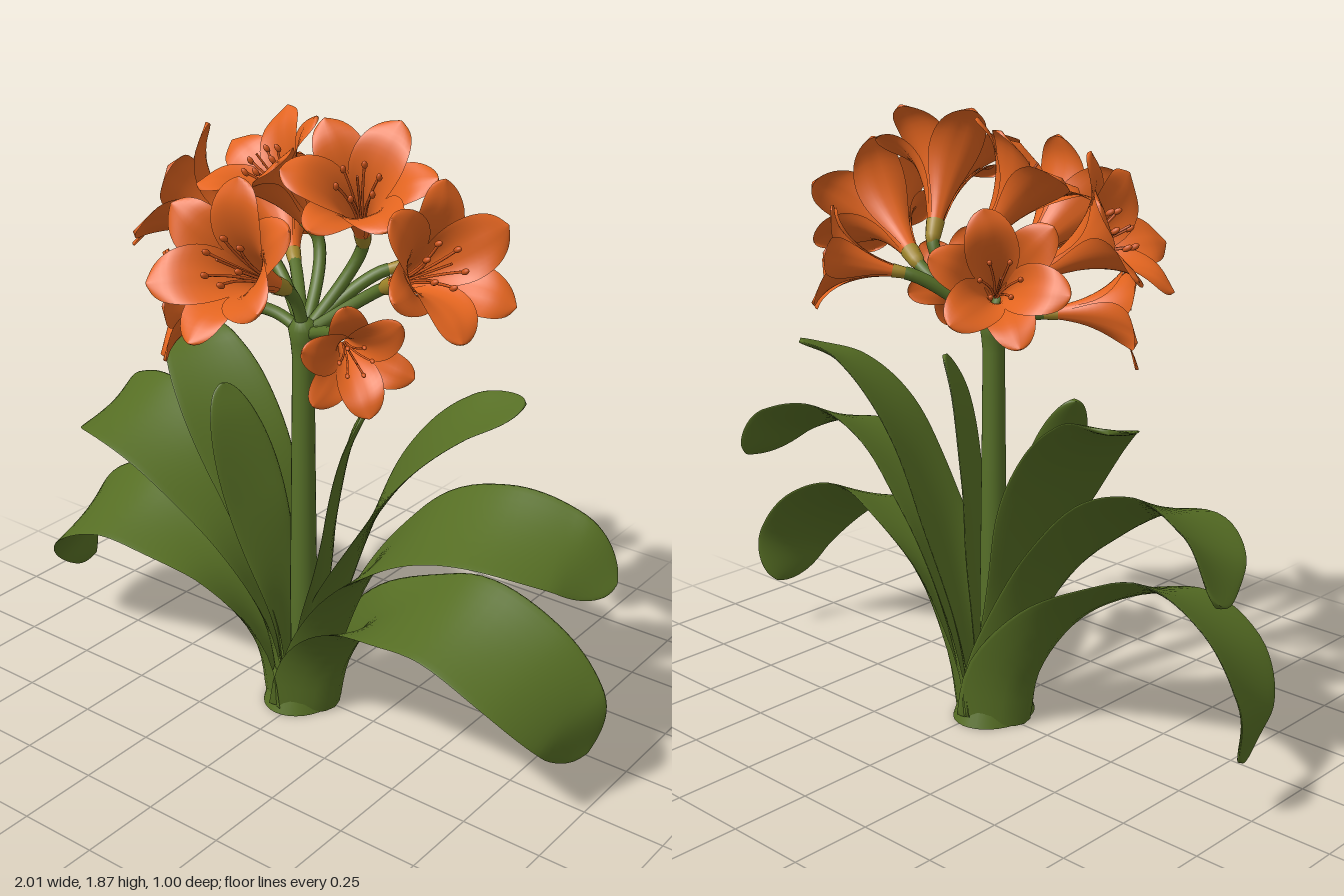
import * as THREE from 'three';

const V = (x, y, z) => new THREE.Vector3(x, y, z);
const smooth = THREE.MathUtils.smoothstep;
const mat = (name, color, side = THREE.DoubleSide) =>
  Object.assign(new THREE.MeshStandardMaterial({ color, side }), { name });

// Grid of points fn(u, v) turned into a smooth surface, rows closer towards the tip
function sheet(rows, cols, fn) {
  const pos = [], idx = [];
  for (let i = 0; i <= rows; i++)
    for (let j = 0; j <= cols; j++)
      pos.push(...fn(Math.sin((i / rows) * Math.PI / 2), j / cols).toArray());
  for (let i = 0; i < rows; i++)
    for (let j = 0; j < cols; j++) {
      const a = i * (cols + 1) + j, b = a + cols + 1;
      idx.push(a, a + 1, b, b, a + 1, b + 1);
    }
  const g = new THREE.BufferGeometry();
  g.setAttribute('position', new THREE.Float32BufferAttribute(pos, 3));
  g.setIndex(idx);
  g.computeVertexNormals();
  return g;
}

// Rounded end: 1 until u0, then an elliptical fall to 0
const roundTip = (u, u0) => (u < u0 ? 1 : Math.sqrt(Math.max(0, 1 - ((u - u0) / (1 - u0)) ** 2)));

// Strap leaf: lens-shaped section swept along an arching path, cupped at the base
function leafGeometry(side, { path, base, wide, tilt, cup }, lift) {
  const curve = new THREE.CatmullRomCurve3(path.map(([x, y, z], i) => {
    const u = i / (path.length - 1);
    return V(side * x - 0.02 * (1 - u), y * (1 + lift * u), z);
  }));
  return sheet(50, 24, (u, v) => {
    const c = curve.getPointAt(u), t = curve.getTangentAt(u);
    const n0 = V(-side * t.y, side * t.x, 0).normalize();
    const w0 = t.clone().cross(n0).multiplyScalar(side);
    const k = tilt * smooth(u, 0.15, 0.65);
    const w = w0.clone().multiplyScalar(Math.cos(k)).addScaledVector(n0, -Math.sin(k));
    const n = n0.clone().multiplyScalar(Math.cos(k)).addScaledVector(w0, Math.sin(k));
    const half = THREE.MathUtils.lerp(base, wide, smooth(u, 0.15, 0.68)) * roundTip(u, 0.69);
    const s = Math.cos(v * Math.PI * 2);
    const bend = THREE.MathUtils.lerp(cup, 0.1, smooth(u, 0.04, 0.5));
    const p = c.addScaledVector(w, s * half)
      .addScaledVector(n, bend * half * s * s + 0.008 * Math.sin(v * Math.PI * 2));
    p.y = Math.max(p.y, 0);
    return p;
  });
}

const LEAVES = [
  { name: 'lowerLeaf', base: 0.145, wide: 0.185, tilt: 0.36, cup: 1.0, lift: [0, 0],
    path: [[0.12, 0, 0.01], [0.16, 0.18, 0.015], [0.32, 0.41, 0.06], [0.6, 0.535, 0.11], [0.815, 0.46, 0.1], [0.945, 0.32, 0.04], [0.975, 0.18, -0.03]] },
  { name: 'middleLeaf', base: 0.125, wide: 0.175, tilt: 0.34, cup: 0.85, lift: [0, 0],
    path: [[0.08, 0.01, 0], [0.13, 0.25, 0], [0.28, 0.57, 0.02], [0.48, 0.755, 0.04], [0.67, 0.815, 0.03], [0.85, 0.775, -0.05], [0.965, 0.67, -0.15]] },
  { name: 'upperLeaf', base: 0.095, wide: 0.155, tilt: 0.4, cup: 0.75, lift: [0, -0.035],
    path: [[0.06, 0.02, 0], [0.11, 0.33, -0.01], [0.22, 0.675, -0.03], [0.37, 0.93, -0.05], [0.5, 1.06, -0.1], [0.62, 1.12, -0.19]] },
  { name: 'innerLeaf', base: 0.07, wide: 0.1, tilt: 0.45, cup: 0.6, lift: [0, -0.04],
    path: [[0.05, 0.03, 0.02], [0.08, 0.35, 0.035], [0.15, 0.7, 0.07], [0.22, 0.97, 0.095], [0.265, 1.085, 0.09]] },
];

// mouth centre, facing direction, size
const FLOWERS = [
  ['frontFlower', [-0.02, 1.555, 0.375], [0, 0.49, 0.87], 0.97],
  ['leftFlower', [0.48, 1.55, 0.01], [0.84, 0.46, 0.26], 0.94],
  ['rightFlower', [-0.5, 1.585, 0.02], [-0.78, 0.5, 0.36], 0.92],
  ['topLeftFlower', [0.185, 1.74, 0.03], [0.3, 0.8, 0.52], 0.9],
  ['topRightFlower', [-0.205, 1.725, -0.02], [-0.35, 0.8, 0.45], 0.87],
  ['lowLeftFlower', [0.33, 1.295, 0.22], [0.72, 0.05, 0.65], 0.68],
  ['lowRightFlower', [-0.36, 1.305, 0.21], [-0.72, 0.05, 0.65], 0.74],
  ['backLeftFlower', [0.285, 1.45, -0.36], [0.68, 0.2, -0.68], 0.68],
  ['backRightFlower', [-0.37, 1.48, -0.34], [-0.66, 0.42, -0.62], 0.8],
];

// Petal: wraps the tube at its base and flares at the mouth, axis along +y
function petalGeometry(inner) {
  const prof = new THREE.CatmullRomCurve3([[0.02, 0], [0.032, 0.08], [0.058, 0.17],
    [0.108, 0.26], [0.175, 0.325], [0.246, 0.348]].map(([r, a]) => V(r, a, 0)));
  return sheet(20, 12, (t, v) => {
    const p = prof.getPointAt(t), s = v * 2 - 1;
    const half = (0.022 + (inner ? 0.083 : 0.07) * smooth(t, 0.08, 0.7)) * roundTip(t, 0.69);
    const r = p.x * (inner ? 0.96 : 1) - 0.005 * t * Math.exp(-((s / 0.2) ** 2));
    const ang = s * half / p.x;
    const a = p.y + (inner ? 0.01 : 0) - 0.012 * s * s * t * t;
    return V(r * Math.sin(ang), a, r * Math.cos(ang));
  });
}

export function createModel() {
  const model = new THREE.Group();
  model.name = 'floweringPlant';
  const leafGreen = mat('leafGreen', 0x566e24);
  const stemGreen = mat('stemGreen', 0x566f28, THREE.FrontSide);
  const petalOrange = mat('petalOrange', 0xe2641f);
  const throatYellow = mat('throatYellowGreen', 0xa0862a, THREE.FrontSide);
  const stamenOrange = mat('stamenOrange', 0xd4581c, THREE.FrontSide);
  const add = (parent, name, geo, material) => {
    const m = new THREE.Mesh(geo, material);
    m.name = name;
    parent.add(m);
    return m;
  };

  // Leaf fan with a solid oval foot
  for (const leaf of LEAVES)
    for (const side of [1, -1])
      add(model, leaf.name, leafGeometry(side, leaf, leaf.lift[side > 0 ? 0 : 1]), leafGreen);
  const foot = add(model, 'foot', new THREE.CylinderGeometry(0.1, 0.14, 0.12, 32), leafGreen);
  foot.scale.x = 0.82;
  foot.position.set(-0.02, 0.06, 0.01);

  // Flower stalk, swelling at the hub
  const stalk = [[0, 0.02], [0.04, 0.02], [0.042, 0.4], [0.037, 0.8], [0.033, 1.16], [0.038, 1.21],
    [0.045, 1.25], [0.03, 1.275], [0, 1.285]].map(([r, y]) => new THREE.Vector2(r, y));
  add(model, 'stalk', new THREE.LatheGeometry(stalk, 20), stemGreen).position.set(-0.02, 0, 0.007);

  // Shared flower parts
  const petals = [petalGeometry(false), petalGeometry(true)];
  const throat = new THREE.LatheGeometry([[0, -0.03], [0.017, -0.025], [0.025, 0], [0.028, 0.03], [0.03, 0.055]]
    .map(([r, y]) => new THREE.Vector2(r, y)), 14);
  const filament = new THREE.TubeGeometry(new THREE.QuadraticBezierCurve3(
    V(0, 0.08, 0.008), V(0, 0.22, 0.02), V(0, 0.31, 0.065)), 10, 0.0045, 6);
  const style = new THREE.CylinderGeometry(0.004, 0.004, 0.28, 6);
  const anther = new THREE.SphereGeometry(0.011, 10, 8);

  const hub = V(-0.02, 1.23, 0.007);
  for (const [name, mouth, dir, size] of FLOWERS) {
    const axis = V(...dir).normalize();
    const start = V(...mouth).addScaledVector(axis, -0.33 * size);
    const flower = new THREE.Group();
    flower.name = name;
    flower.position.copy(start);
    flower.quaternion.setFromUnitVectors(V(0, 1, 0), axis);
    flower.scale.setScalar(size);
    model.add(flower);
    add(flower, 'throat', throat, throatYellow);
    for (let i = 0; i < 6; i++) {
      const a = i * Math.PI / 3;
      add(flower, 'petal', petals[i % 2], petalOrange).rotation.y = a;
      const stamen = new THREE.Group();
      stamen.name = 'stamen';
      stamen.rotation.y = a + 0.3;
      add(stamen, 'filament', filament, stamenOrange);
      const tip = add(stamen, 'anther', anther, stamenOrange);
      tip.position.set(0, 0.312, 0.067);
      tip.scale.set(0.85, 1.5, 0.85);
      flower.add(stamen);
    }
    add(flower, 'style', style, stamenOrange).position.y = 0.2;

    // Pedicel from the hub to the flower
    const bend = start.clone().addScaledVector(axis, -0.08);
    const path = new THREE.QuadraticBezierCurve3(hub, bend, start);
    add(model, 'pedicel', new THREE.TubeGeometry(path, 14, 0.019, 10), stemGreen);
  }
  return model;
}
